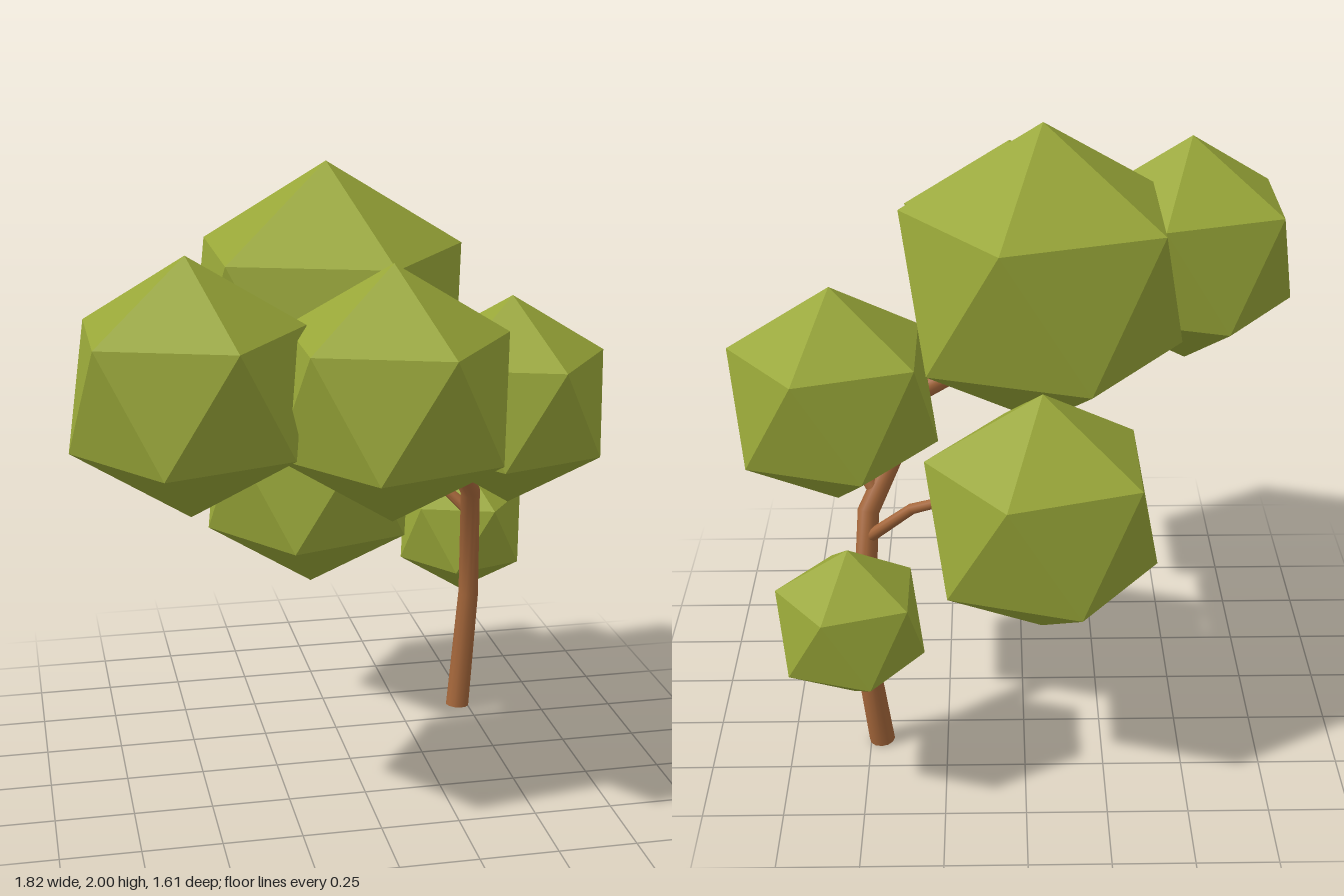
import * as THREE from 'three';
import { toCreasedNormals } from 'three/addons/utils/BufferGeometryUtils.js';

const leafGreen = new THREE.MeshStandardMaterial({ color: 0x98a638, flatShading: true });
leafGreen.name = 'leaf green';
const barkBrown = new THREE.MeshStandardMaterial({ color: 0xa4663a });
barkBrown.name = 'bark brown';

const UP = new THREE.Vector3(0, 1, 0);

// Tapered limb through stations [x, y, z, radius]: a cylinder bent row by row
function limb(name, stations) {
  const points = stations.map(s => new THREE.Vector3(s[0], s[1], s[2]));
  const last = points.length - 1;
  const turns = points.map((p, i) => {
    const tangent = new THREE.Vector3();
    if (i > 0) tangent.add(p.clone().sub(points[i - 1]).normalize());
    if (i < last) tangent.add(points[i + 1].clone().sub(p).normalize());
    if (i === 0 && p.y === 0) tangent.copy(UP).lerp(points[1].clone().sub(p).normalize(), 0.5);
    return new THREE.Quaternion().setFromUnitVectors(UP, tangent.normalize());
  });
  const geometry = new THREE.CylinderGeometry(1, 1, last, 12, last);
  const pos = geometry.attributes.position;
  const v = new THREE.Vector3();
  for (let k = 0; k < pos.count; k++) {
    v.fromBufferAttribute(pos, k);
    const row = Math.round(v.y + last / 2);
    const r = stations[row][3];
    v.set(v.x * r, 0, v.z * r).applyQuaternion(turns[row]).add(points[row]);
    pos.setXYZ(k, v.x, v.y, v.z);
  }
  const mesh = new THREE.Mesh(toCreasedNormals(geometry, 0.9), barkBrown);
  mesh.name = name;
  return mesh;
}

export function createModel() {
  const tree = new THREE.Group();
  tree.name = 'tree';

  // Trunk leans, bends and ends in the left-hand crown
  tree.add(limb('trunk', [
    [0.465, 0, -0.353, 0.041],
    [0.51, 0.41, -0.397, 0.036],
    [0.485, 0.82, -0.305, 0.034],
    [0.315, 1.13, -0.08, 0.031],
    [-0.5, 1.4, 0.37, 0.018],
  ]));

  // Side branches reach into the other crowns
  const branches = {
    backBranch: [[0.487, 0.74, -0.33, 0.02], [0.345, 0.88, -0.405, 0.017], [0.26, 0.915, -0.43, 0.015], [0, 0.9, -0.44, 0.012]],
    lowBranch: [[0.51, 0.4, -0.39, 0.022], [0.515, 0.47, -0.44, 0.018], [0.53, 0.58, -0.58, 0.012]],
    rightBranch: [[0.46, 0.87, -0.27, 0.024], [0.55, 1.0, -0.22, 0.018], [0.585, 1.16, -0.2, 0.012]],
    topBranch: [[0.2, 1.17, -0.02, 0.022], [0.05, 1.3, -0.05, 0.018], [-0.06, 1.5, -0.085, 0.012]],
    frontBranch: [[0.08, 1.21, 0.05, 0.02], [0.05, 1.28, 0.24, 0.016], [0.035, 1.38, 0.45, 0.012]],
  };
  for (const [name, stations] of Object.entries(branches)) tree.add(limb(name, stations));

  // Crowns share one icosahedron standing on a corner, with an upper corner towards +x
  const ico = new THREE.IcosahedronGeometry(1, 0);
  ico.rotateZ(-Math.atan2(2, 1 + Math.sqrt(5)));
  const crowns = {
    topCrown: [-0.06, 1.51, -0.085, 0.49],
    leftCrown: [-0.56, 1.42, 0.4, 0.391],
    frontCrown: [0.035, 1.388, 0.465, 0.391],
    rightCrown: [0.587, 1.168, -0.197, 0.358],
    backCrown: [-0.053, 0.88, -0.44, 0.398],
    smallCrown: [0.53, 0.598, -0.598, 0.248],
  };
  for (const [name, [x, y, z, r]] of Object.entries(crowns)) {
    const crown = new THREE.Mesh(ico, leafGreen);
    crown.name = name;
    crown.position.set(x, y, z);
    crown.scale.setScalar(r);
    tree.add(crown);
  }
  return tree;
}
